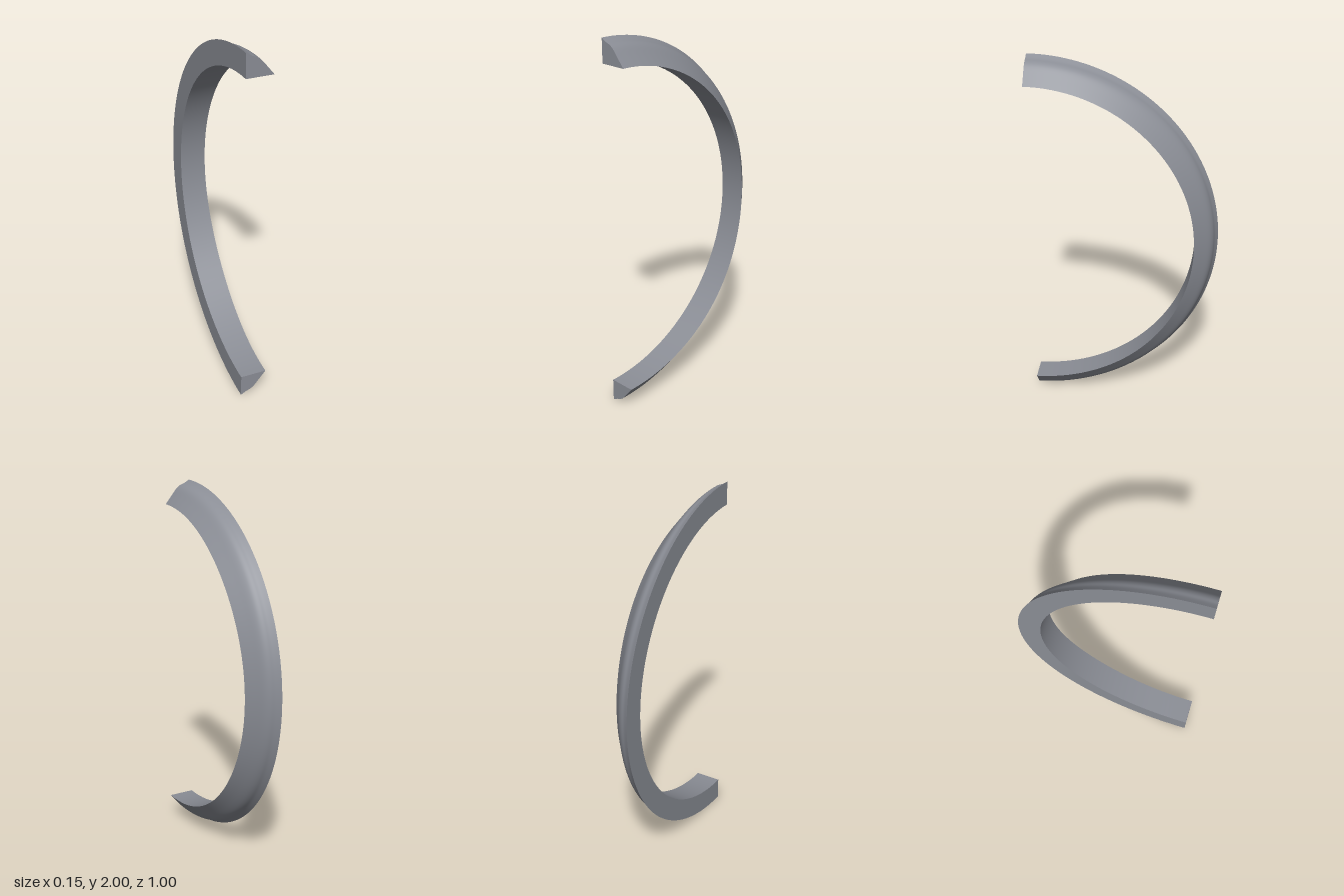
import * as THREE from 'three';

const INNER = 0.875, BACK = -0.077, TIP = 0.07;

// Outer face of the cross-section as (radius, x): a soft S from rim to tip
const outerCurve = new THREE.SplineCurve([
  [1, BACK], [0.984, -0.05], [0.974, -0.024], [0.956, 0], [0.917, 0.034], [INNER, TIP],
].map(([r, x]) => new THREE.Vector2(r, x)));

// The thin edge wavers slightly along the arc
function waver(geometry) {
  const p = geometry.attributes.position;
  for (let i = 0; i < p.count; i++) {
    const x = p.getX(i), angle = Math.atan2(p.getY(i), p.getZ(i));
    const weight = Math.max(0, x / TIP);
    p.setX(i, x - 0.004 * weight * Math.cos(4 * angle));
  }
  geometry.computeVertexNormals();
  return geometry;
}

export function createModel() {
  const group = new THREE.Group();
  group.name = 'halfRing';
  const grey = new THREE.MeshStandardMaterial({ color: 0x8b8e96 });
  grey.name = 'grey';

  const add = (name, geometry) => {
    const mesh = new THREE.Mesh(waver(geometry).translate(0, 1, 0.5), grey);
    mesh.name = name;
    group.add(mesh);
  };

  // Half-turn bands around the x axis
  const band = (points) =>
    new THREE.LatheGeometry(points, 96, Math.PI / 2, Math.PI).rotateZ(-Math.PI / 2);
  const v = (r, x) => new THREE.Vector2(r, x);
  const outer = outerCurve.getPoints(20);
  add('outerFace', band(outer));
  add('innerFace', band([v(INNER, TIP), v(INNER, BACK)]));
  add('flatSide', band([v(INNER, BACK), v(1, BACK)]));

  // Flat ends of the arc
  for (const [name, side] of [['topEnd', 1], ['bottomEnd', -1]]) {
    const outline = [v(INNER, BACK), ...outer].map((p) => new THREE.Vector2(p.y, side * p.x));
    add(name, new THREE.ShapeGeometry(new THREE.Shape(outline)));
  }
  return group;
}
